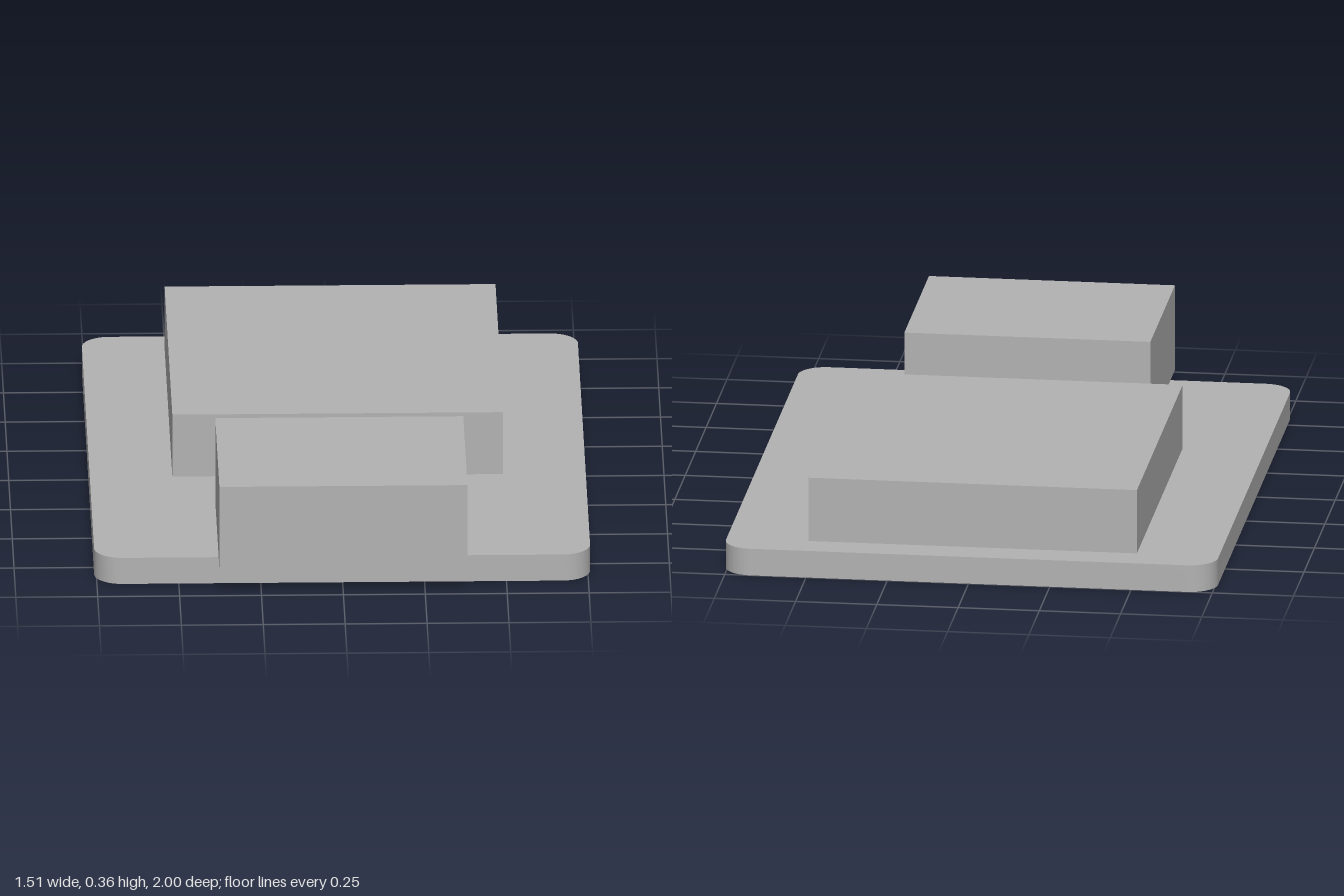
import * as THREE from 'three';
import { toCreasedNormals } from 'three/addons/utils/BufferGeometryUtils.js';

const BOARD_HEIGHT = 0.085;

// Flat slab with rounded corners, lying on y = 0
function roundedSlab(x0, x1, z0, z1, radius, height) {
  const shape = new THREE.Shape();
  const corner = (x, z, start) => shape.absarc(x, -z, radius, start, start + Math.PI / 2, false);
  corner(x1 - radius, z0 + radius, 0);
  corner(x0 + radius, z0 + radius, Math.PI / 2);
  corner(x0 + radius, z1 - radius, Math.PI);
  corner(x1 - radius, z1 - radius, Math.PI * 1.5);
  shape.closePath();
  const geometry = new THREE.ExtrudeGeometry(shape, { depth: height, bevelEnabled: false, curveSegments: 12 });
  geometry.rotateX(-Math.PI / 2);
  return toCreasedNormals(geometry, Math.PI / 6);
}

export function createModel() {
  const model = new THREE.Group();
  model.name = 'circuitBoard';

  const grey = new THREE.MeshStandardMaterial({ color: 0xb2b2b2 });
  grey.name = 'plain grey';

  const add = (name, geometry) => {
    const mesh = new THREE.Mesh(geometry, grey);
    mesh.name = name;
    model.add(mesh);
    return mesh;
  };

  // Block standing on top of the board
  const addBlock = (name, width, height, z0, z1) => {
    const mesh = add(name, new THREE.BoxGeometry(width, height, z1 - z0));
    mesh.position.set(0, BOARD_HEIGHT + height / 2, (z0 + z1) / 2);
  };

  // Base board
  add('board', roundedSlab(-0.757, 0.757, -1, 0.893, 0.085, BOARD_HEIGHT));

  // Large rear block and the taller front connector that overhangs the edge
  addBlock('rearModule', 1.01, 0.202, -0.897, 0.2);
  addBlock('frontConnector', 0.757, 0.27, 0.41, 1);

  return model;
}
